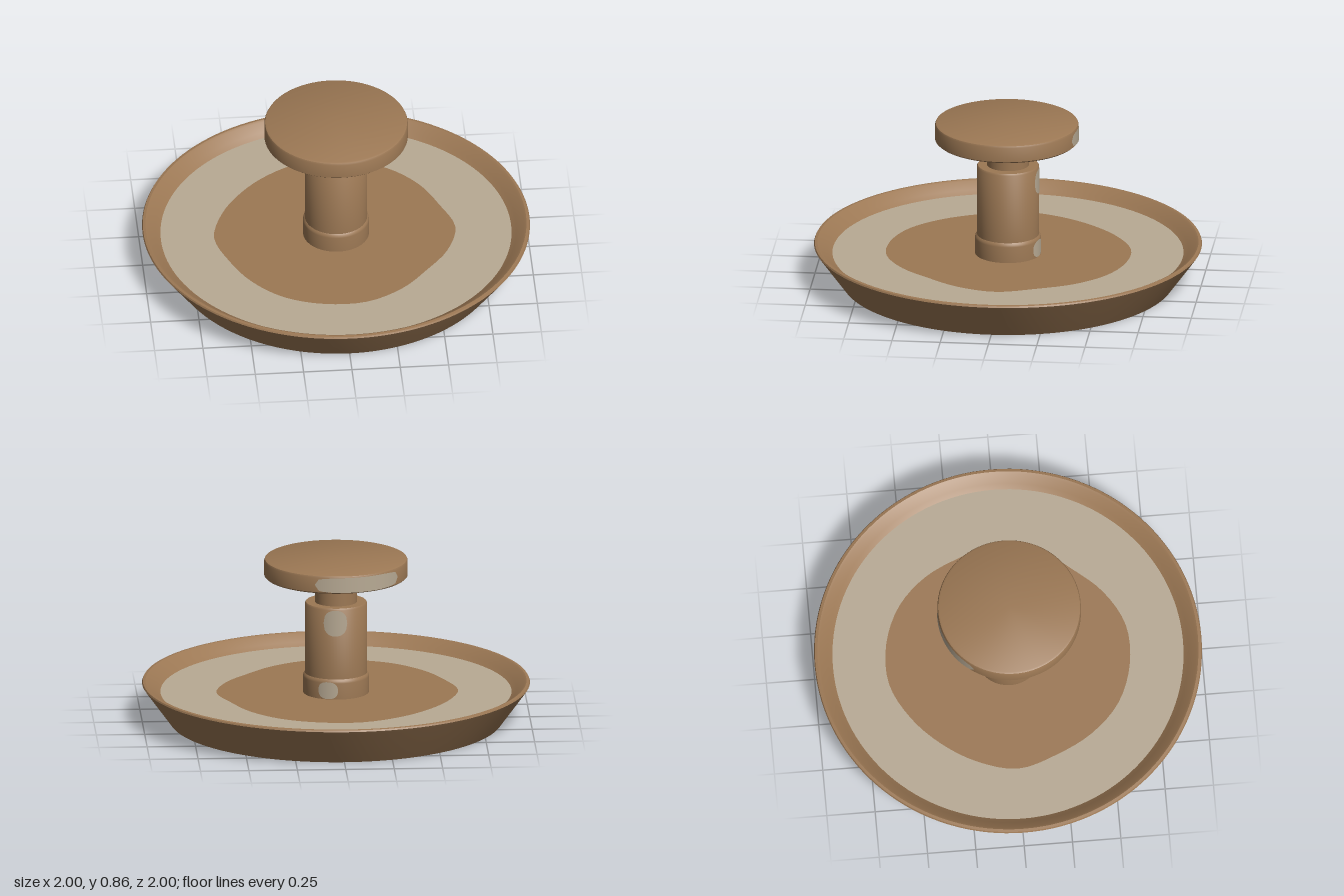
import * as THREE from 'three';
import { toCreasedNormals } from 'three/addons/utils/BufferGeometryUtils.js';

const brown = new THREE.MeshStandardMaterial({ color: 0x9c7854 });
brown.name = 'warm brown';
const pale = new THREE.MeshStandardMaterial({ color: 0xb8aa94 });
pale.name = 'pale worn clay';

const FLOOR = 0.15;

function part(name, geometry, material) {
  const mesh = new THREE.Mesh(geometry, material);
  mesh.name = name;
  return mesh;
}

// Turned part from [radius, y] pairs, with sharp edges kept
function turned(name, profile, segments = 96) {
  const points = profile.map(([r, y]) => new THREE.Vector2(r, y));
  return part(name, toCreasedNormals(new THREE.LatheGeometry(points, segments), 0.6), brown);
}

// Thin rounded patch wrapped on a cylinder; angles run from +x towards -z
function wornPatch(name, radius, fromDeg, toDeg, yLow, yHigh, power) {
  const positions = [], normals = [], index = [];
  const steps = 24, mid = (yLow + yHigh) / 2, half = (yHigh - yLow) / 2;
  for (let i = 0; i <= steps; i++) {
    const t = i / steps * 2 - 1;
    const a = THREE.MathUtils.degToRad(fromDeg + (toDeg - fromDeg) * i / steps);
    const h = half * Math.pow(1 - Math.pow(Math.abs(t), power), 1 / power);
    for (const y of [mid - h, mid + h]) {
      positions.push(radius * Math.cos(a), y, -radius * Math.sin(a));
      normals.push(Math.cos(a), 0, -Math.sin(a));
    }
    if (i < steps) {
      const k = i * 2;
      index.push(k, k + 2, k + 3, k, k + 3, k + 1);
    }
  }
  const g = new THREE.BufferGeometry();
  g.setAttribute('position', new THREE.Float32BufferAttribute(positions, 3));
  g.setAttribute('normal', new THREE.Float32BufferAttribute(normals, 3));
  g.setIndex(index);
  return part(name, g, pale);
}

// Flat shape laid on the ground plane, facing up
function flat(name, shape, material, y) {
  const mesh = part(name, new THREE.ShapeGeometry(shape, 48).rotateX(-Math.PI / 2), material);
  mesh.position.y = y;
  return mesh;
}

export function createModel() {
  const group = new THREE.Group();
  group.name = 'dishWithKnob';

  // Flared dish wall, rolled rim and recessed foot
  group.add(turned('dishWall', [
    [0.777, 0.055], [0.848, 0], [0.857, 0], [0.99, 0.183], [1, 0.198], [0.996, 0.206],
    [0.982, 0.208], [0.97, 0.202], [0.93, 0.168], [0.905, FLOOR],
  ], 128));

  // Underside of the dish
  const underside = part('underside', new THREE.CircleGeometry(0.777, 128).rotateX(Math.PI / 2), pale);
  underside.position.y = 0.055;
  group.add(underside);

  // Floor: an uneven brown centre inside a pale ring
  const radii = [0.617, 0.585, 0.6, 0.62, 0.63, 0.635, 0.612, 0.6, 0.61, 0.63,
    0.605, 0.612, 0.628, 0.63, 0.628, 0.598, 0.572, 0.595];
  const outline = radii.map((r, i) => {
    const a = i / radii.length * Math.PI * 2;
    return new THREE.Vector2(r * Math.cos(a), r * Math.sin(a));
  });
  const edge = new THREE.CatmullRomCurve3(
    outline.map((p) => new THREE.Vector3(p.x, p.y, 0)), true).getPoints(72)
    .slice(0, -1).map((p) => new THREE.Vector2(p.x, p.y));
  const ring = new THREE.Shape().absarc(0, 0, 0.906, 0, Math.PI * 2);
  ring.holes.push(new THREE.Path(edge));
  group.add(flat('floorCentre', new THREE.Shape(edge), brown, FLOOR));
  group.add(flat('floorRing', ring, pale, FLOOR));

  // Column with base collar and narrow neck
  group.add(turned('column', [
    [0.17, FLOOR], [0.17, 0.235], [0.168, 0.247], [0.161, 0.255], [0.161, 0.622],
    [0.155, 0.631], [0.109, 0.631], [0.109, 0.77],
  ], 64));

  // Flat round knob
  const knob = new THREE.Group();
  knob.name = 'knob';
  knob.position.z = 0.006;
  knob.add(turned('knobDisc', [
    [0, 0.765], [0.362, 0.765], [0.37, 0.772], [0.37, 0.848], [0.366, 0.857], [0.357, 0.861], [0, 0.861],
  ]));
  knob.add(wornPatch('knobWear', 0.372, 70, 146, 0.771, 0.85, 4));
  group.add(knob);

  // Worn spots on the back of the column
  group.add(wornPatch('columnWear', 0.163, 64, 108, 0.485, 0.622, 2.3));
  group.add(wornPatch('collarWear', 0.172, 55, 91, 0.152, 0.242, 2.3));

  return group;
}
